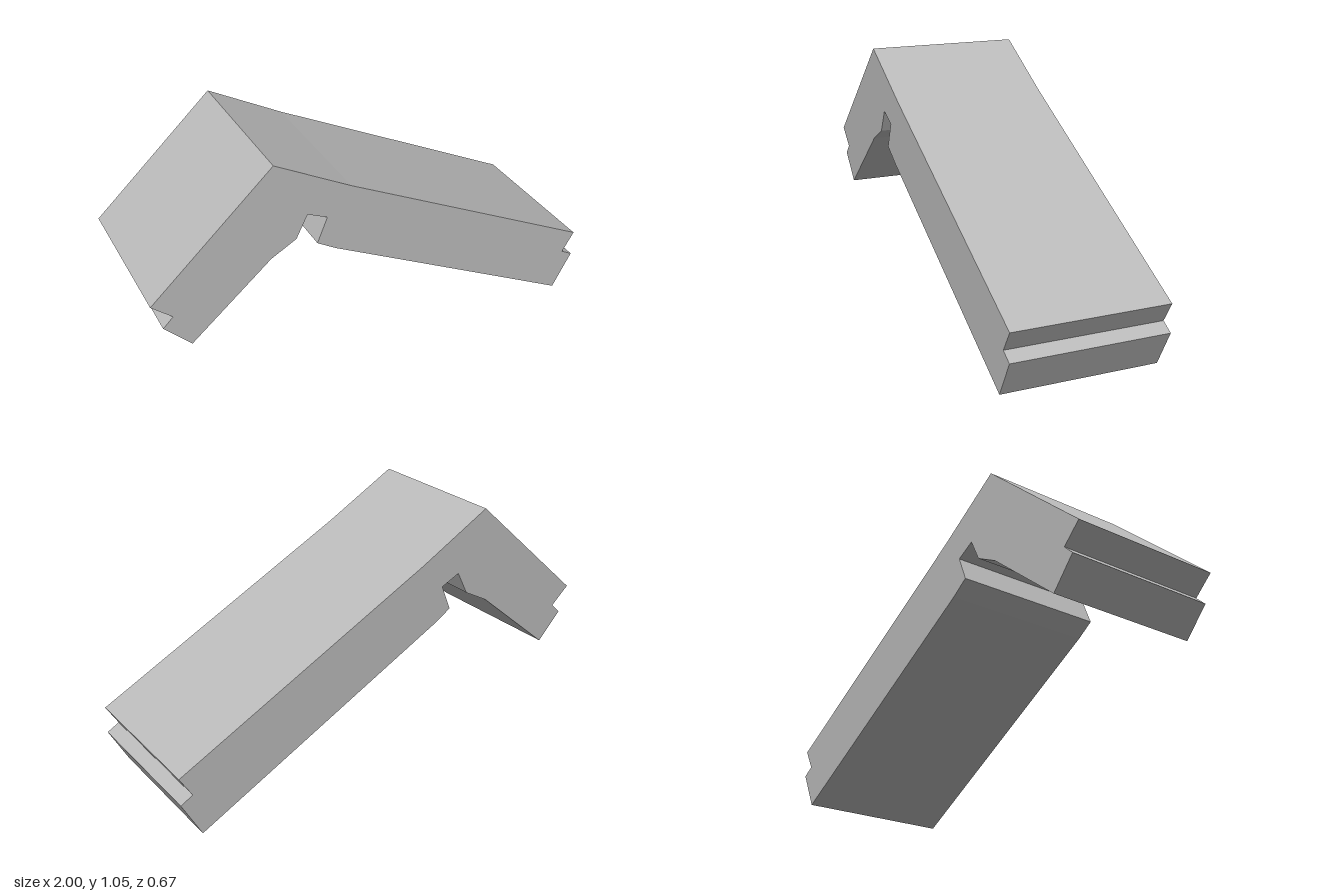
import * as THREE from 'three';

const DEPTH = 0.667;

export function createModel() {
  const model = new THREE.Group();
  model.name = 'angledProfile';

  const grey = new THREE.MeshStandardMaterial({ color: 0xbababa });
  grey.name = 'plain grey';

  // Bent cross-section, clockwise from the tip of the short arm
  const outline = [
    [-1, 0.575], [-0.475, 1.054], [-0.15, 0.872], [1, 0.279], // outer faces
    [0.947, 0.19], [1, 0.16], [0.915, 0],                     // stepped end of the long arm
    [-0.22, 0.595], [-0.3, 0.645],                            // underside of the long arm
    [-0.255, 0.755], [-0.34, 0.795], [-0.39, 0.695],          // slot in the inner corner
    [-0.5, 0.635], [-0.85, 0.34],                             // underside of the short arm
    [-0.96, 0.457], [-0.916, 0.5],                            // stepped end of the short arm
  ].map(([x, y]) => new THREE.Vector2(x, y));

  // Straight extrusion, centred front to back
  const geometry = new THREE.ExtrudeGeometry(new THREE.Shape(outline), {
    depth: DEPTH,
    bevelEnabled: false,
  });
  geometry.translate(0, 0, -DEPTH / 2);

  const body = new THREE.Mesh(geometry, grey);
  body.name = 'bentBody';
  model.add(body);
  return model;
}
